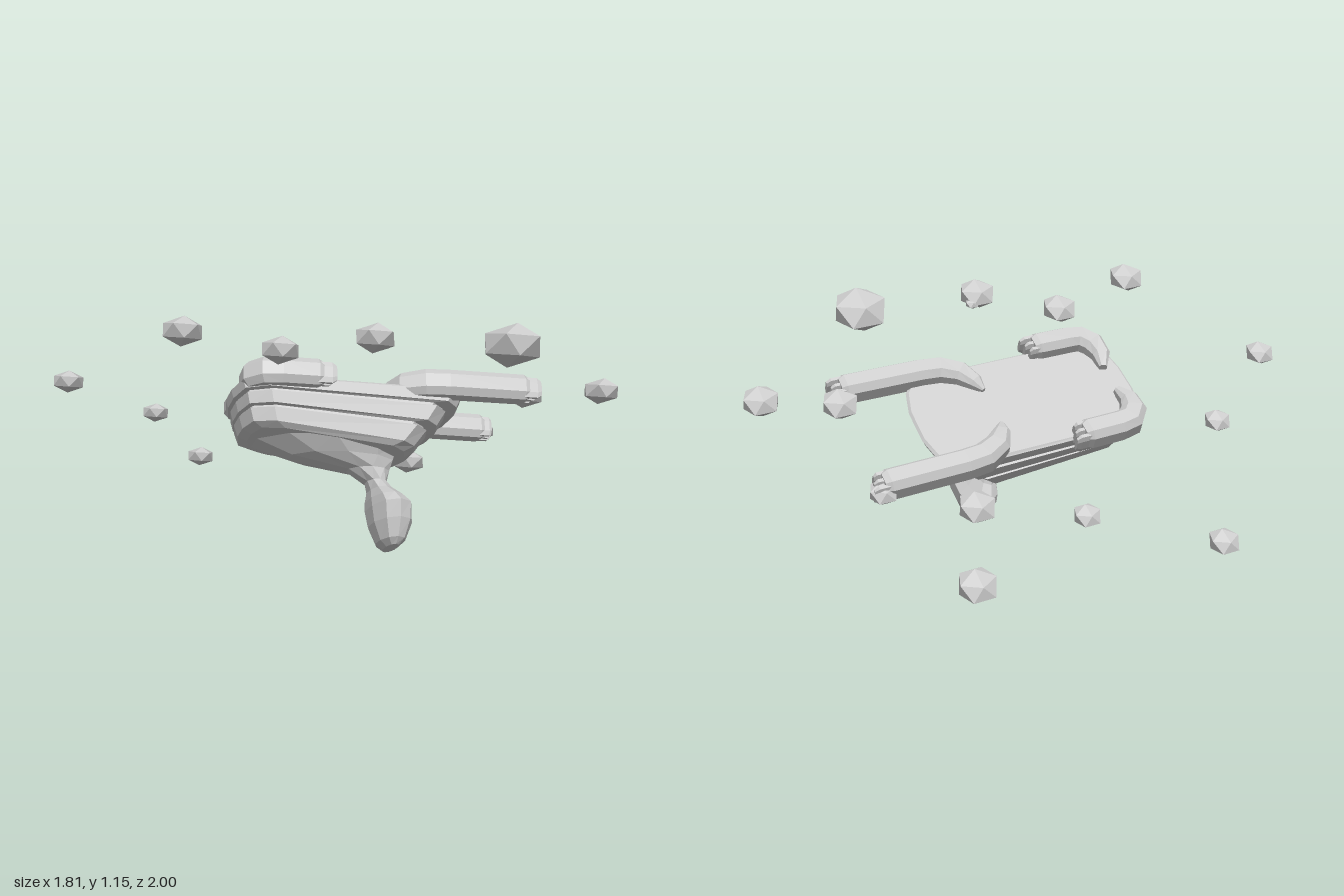
import * as THREE from 'three';

const grey = new THREE.MeshStandardMaterial({ color: 0xcccccc, flatShading: true });

// Skin a list of equal-length rings and close both ends
function loft(rings) {
  const out = [];
  const tri = (...pts) => pts.forEach(p => out.push(p.x, p.y, p.z));
  const n = rings[0].length;
  for (let i = 0; i < rings.length - 1; i++) {
    for (let j = 0; j < n; j++) {
      const k = (j + 1) % n, A = rings[i], B = rings[i + 1];
      tri(A[j], A[k], B[k]);
      tri(A[j], B[k], B[j]);
    }
  }
  const mid = r => r.reduce((s, p) => s.add(p), new THREE.Vector3()).divideScalar(n);
  const first = rings[0], last = rings[rings.length - 1];
  const m0 = mid(first), m1 = mid(last);
  for (let j = 0; j < n; j++) {
    const k = (j + 1) % n;
    tri(m0, first[k], first[j]);
    tri(m1, last[j], last[k]);
  }
  const g = new THREE.BufferGeometry();
  g.setAttribute('position', new THREE.Float32BufferAttribute(out, 3));
  g.computeVertexNormals();
  return g;
}

// Oval ring at height y: half width, back and front ends
function ovalRing(y, halfW, back, front) {
  return Array.from({ length: 10 }, (_, i) => {
    const t = ((i + 0.5) / 10) * Math.PI * 2;
    return new THREE.Vector3(halfW * Math.sin(t), y,
      (back + front) / 2 + (front - back) / 2 * Math.cos(t));
  });
}

// Shell outline: straight sides, bowed front, clipped back corners;
// the lower bands rise towards the back, so the shell thins there
function shellRing(y, halfW, back, front) {
  const half = [[0.3, front + 0.065], [0.72, front + 0.038], [1, front - 0.025],
    [1, back + 0.10], [0.78, back + 0.01], [0.25, back - 0.015]];
  const mirrored = half.map(([x, z]) => [-x, z]).reverse();
  return [...half, ...mirrored].map(([x, z]) =>
    new THREE.Vector3(x * halfW, y + (0.512 - y) * 0.4 * Math.max(0, 0.15 - z), z));
}

// Chamfered bar along a path of [x, z, size]
function bar(path, y, w, h) {
  const section = [[1, -.5], [1, .5], [.55, 1], [-.55, 1], [-1, .5], [-1, -.5], [-.55, -1], [.55, -1]];
  const up = new THREE.Vector3(0, 1, 0);
  const pts = path.map(([x, z]) => new THREE.Vector3(x, y, z));
  return loft(pts.map((p, i) => {
    const t = pts[Math.min(i + 1, pts.length - 1)].clone().sub(pts[Math.max(i - 1, 0)]).normalize();
    const side = up.clone().cross(t), s = path[i][2];
    return section.map(([a, b]) => p.clone().addScaledVector(side, a * w * s).addScaledVector(up, b * h * s));
  }));
}

function add(parent, name, geometry) {
  const m = new THREE.Mesh(geometry, grey);
  m.name = name;
  parent.add(m);
  return m;
}

function limb(name, side, path, y) {
  const g = new THREE.Group();
  g.name = name;
  const mirrored = path.map(([x, z, s]) => [x * side, z, s]);
  add(g, 'limbBar', bar(mirrored, y, 0.06, 0.057));
  // three stepped fingers at the tip
  const [x, z] = mirrored[mirrored.length - 1];
  for (let i = -1; i <= 1; i++) {
    const fx = x + i * 0.036, len = 0.03 + 0.01 * (i * side + 1);
    add(g, 'finger', bar([[fx, z - 0.03, 1], [fx, z + len * 0.6, 1], [fx, z + len, 0.7]], y - 0.004, 0.015, 0.045));
  }
  return g;
}

export function createModel() {
  const root = new THREE.Group();
  root.name = 'floatingCreature';

  // Tilted frame: x across the body, y out of its flat face, z along it
  const across = new THREE.Vector3(0.477, -0.575, -0.665).normalize();
  const along = new THREE.Vector3(0.736, -0.119, 0.667);
  along.addScaledVector(across, -along.dot(across)).normalize();
  const out = along.clone().cross(across);
  const tilt = new THREE.Quaternion().setFromRotationMatrix(
    new THREE.Matrix4().makeBasis(across, out, along));

  const body = new THREE.Group();
  body.name = 'creature';
  body.quaternion.copy(tilt);
  body.position.copy(across).multiplyScalar(-0.365);
  root.add(body);

  // Banded shell, from the small lower plate to the flat face
  const bands = [
    [0.245, 0.195, -0.47, 0.12], [0.265, 0.226, -0.51, 0.16], [0.335, 0.243, -0.525, 0.215],
    [0.340, 0.230, -0.515, 0.20], [0.352, 0.230, -0.515, 0.205], [0.357, 0.250, -0.53, 0.26],
    [0.420, 0.262, -0.54, 0.30], [0.425, 0.247, -0.53, 0.285], [0.437, 0.247, -0.53, 0.29],
    [0.442, 0.265, -0.55, 0.35], [0.492, 0.270, -0.56, 0.375], [0.503, 0.258, -0.55, 0.365],
  ];
  add(body, 'bandedShell', loft(bands.map(b => shellRing(...b))));

  // Keel narrowing to the thin neck, then the flattened head
  const head = [
    [-0.145, 0.085, 0.10, 0.155], [-0.12, 0.120, 0.07, 0.185], [-0.045, 0.165, 0.04, 0.215],
    [0.025, 0.190, 0.03, 0.215], [0.06, 0.170, 0.03, 0.175], [0.10, 0.110, 0.035, 0.135],
    [0.14, 0.075, 0.025, 0.115], [0.19, 0.085, -0.06, 0.13], [0.235, 0.135, -0.32, 0.15], [0.29, 0.205, -0.48, 0.17],
  ];
  add(body, 'neckAndHead', loft(head.map(r => ovalRing(...r))));

  // Limbs: hooked root on the face, then a straight bar
  const front = [[0.10, 0.085, 0.15], [0.15, 0.105, 0.6], [0.215, 0.15, 0.9], [0.26, 0.23, 1],
    [0.27, 0.32, 1], [0.275, 0.66, 1], [0.275, 0.685, 0.8]];
  const back = [[0.07, -0.49, 0.3], [0.14, -0.512, 0.7], [0.21, -0.502, 0.95], [0.26, -0.46, 1],
    [0.27, -0.40, 1], [0.272, -0.25, 1], [0.272, -0.225, 0.8]];
  for (const [label, side] of [['left', 1], ['right', -1]]) {
    body.add(limb(label + 'FrontLimb', side, front, 0.513));
    body.add(limb(label + 'BackLimb', side, back, 0.518));
  }

  // Floating stones [x, y, z, radius], flattened along the creature's tilt
  const stones = [
    [0.115, 0.14, -0.94, 0.071], [-0.827, 0.77, -0.807, 0.071], [-0.38, 0.53, -0.747, 0.064],
    [0.337, 0.245, -0.425, 0.064], [-0.835, 1.09, -0.133, 0.089], [0.832, 0.067, -0.175, 0.089],
    [0.56, 0.293, -0.035, 0.087], [-0.482, 0.97, 0.063, 0.087], [-0.322, 1.04, 0.413, 0.091],
    [-0.265, 1.0, 0.41, 0.034], [0.065, 0.99, 0.81, 0.135], [0.5, 0.648, 0.647, 0.087],
    [0.685, 0.67, 0.92, 0.087], [0.725, 0.355, 0.305, 0.066],
  ];
  const stone = new THREE.IcosahedronGeometry(1, 0);
  for (const [x, y, z, r] of stones) {
    const m = add(root, 'floatingStone', stone);
    m.position.set(x, y, z);
    m.quaternion.copy(tilt);
    m.scale.set(r, r * 0.6, r);
  }
  return root;
}
